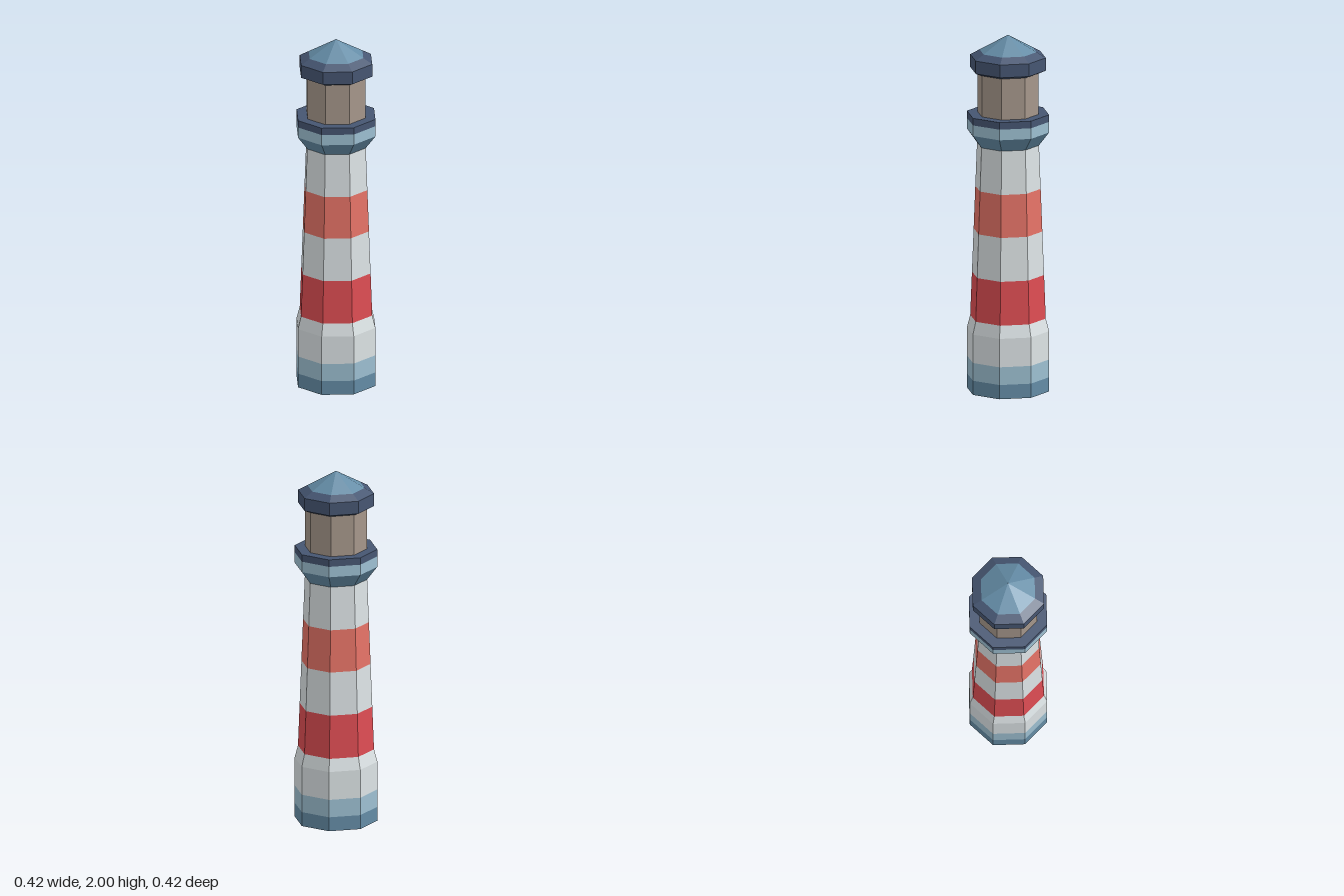
import * as THREE from 'three';

const SIDES = 8;
const CORNER = 1 / Math.cos(Math.PI / SIDES); // flat-to-centre distance -> corner radius

function paint(name, color) {
  const m = new THREE.MeshStandardMaterial({ color });
  m.name = name;
  return m;
}

// Octagonal ring(s) through [distance to flat side, height] points, listed bottom to top
function octagon(name, material, profile) {
  const points = profile.map(([r, y]) => new THREE.Vector2(r * CORNER, y));
  const geometry = new THREE.LatheGeometry(points, SIDES, Math.PI / SIDES).toNonIndexed();
  geometry.computeVertexNormals(); // faceted sides
  const mesh = new THREE.Mesh(geometry, material);
  mesh.name = name;
  return mesh;
}

export function createModel() {
  const white = paint('white', 0xdde4e6);
  const red = paint('red', 0xde4d53);
  const coral = paint('coral', 0xe67367);
  const paleBlue = paint('pale blue', 0x9dc0d2);
  const blue = paint('blue', 0x648ca6);
  const navy = paint('navy', 0x465672);
  const taupe = paint('taupe', 0xa6978b);

  const group = new THREE.Group();
  group.name = 'lighthouse';
  const add = (...args) => group.add(octagon(...args));

  // Plinth
  add('baseFloor', white, [[0, 0], [0.212, 0]]);
  add('baseLower', blue, [[0.212, 0], [0.212, 0.08]]);
  add('baseUpper', paleBlue, [[0.212, 0.08], [0.212, 0.18]]);
  add('plinth', white, [[0.212, 0.18], [0.212, 0.34], [0.195, 0.41]]);

  // Tapering striped tower
  const heights = [0.41, 0.655, 0.9, 1.14, 1.385];
  const stripes = [red, white, coral, white];
  const towerRadius = (y) => THREE.MathUtils.mapLinear(y, 0.41, 1.385, 0.195, 0.16);
  stripes.forEach((material, i) => {
    const [y0, y1] = [heights[i], heights[i + 1]];
    add(`towerStripe${i + 1}`, material, [[towerRadius(y0), y0], [towerRadius(y1), y1]]);
  });

  // Gallery flaring out around the lantern
  add('galleryFlare', blue, [[0.16, 1.385], [0.212, 1.46]]);
  add('galleryBand', paleBlue, [[0.212, 1.46], [0.212, 1.52]]);
  add('galleryDeck', navy, [[0.212, 1.52], [0.212, 1.56], [0.15, 1.56]]);

  // Lantern room
  add('lantern', taupe, [[0.158, 1.56], [0.158, 1.8]]);

  // Roof: closed underside, rim and cone with a lighter cap
  const coneHeight = (r) => THREE.MathUtils.mapLinear(r, 0.195, 0, 1.88, 2);
  add('roofRim', navy, [[0, 1.793], [0.165, 1.793], [0.195, 1.808], [0.195, 1.88], [0.147, coneHeight(0.147)]]);
  add('roofCap', blue, [[0.147, coneHeight(0.147)], [0, 2]]);

  return group;
}
